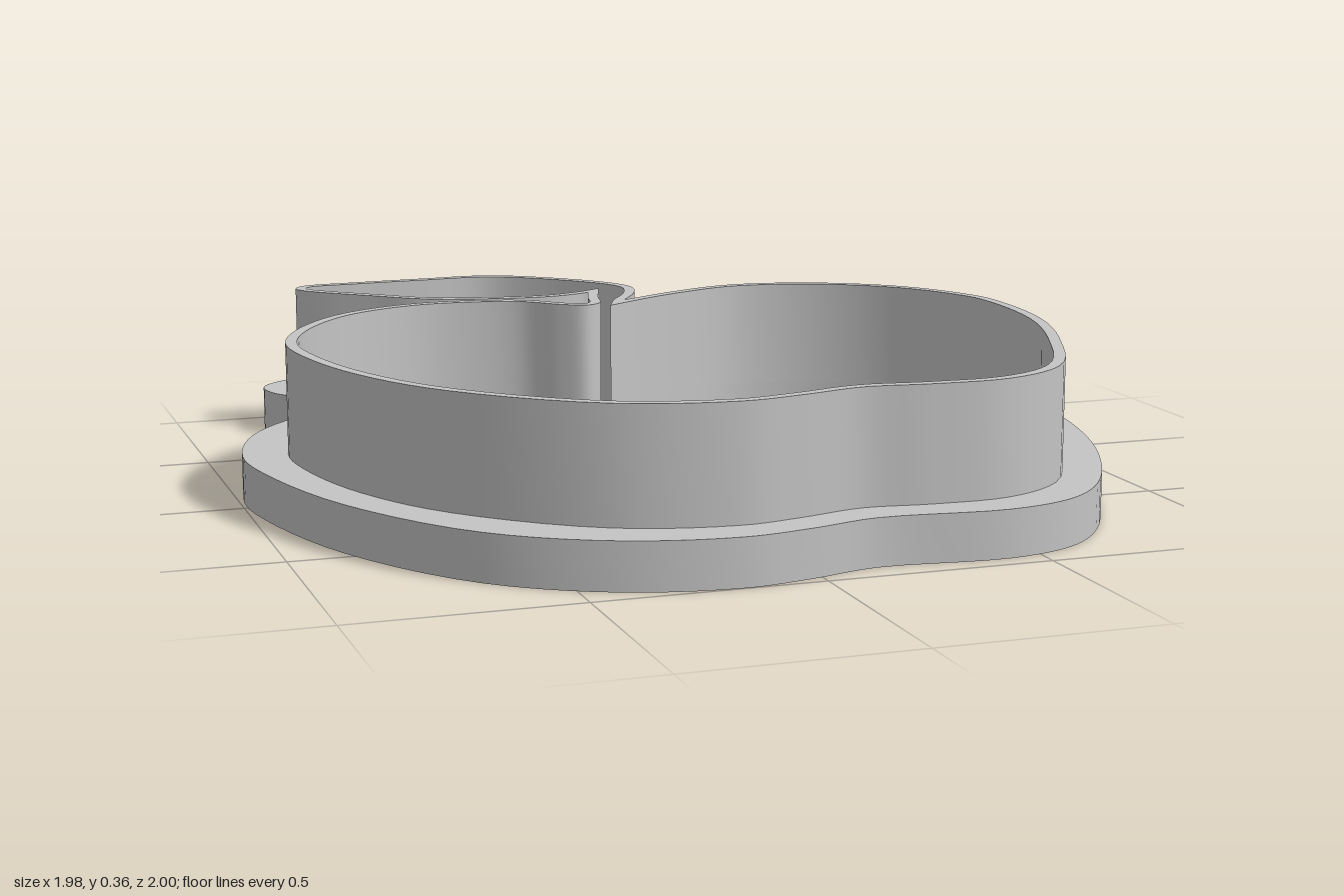
import * as THREE from 'three';
import { toCreasedNormals } from 'three/addons/utils/BufferGeometryUtils.js';

const FLANGE_TOP = 0.105, WALL_TOP = 0.36, WALL = 0.026;

// Each run is a smooth curve of [x, z] points; runs meet at sharp corners.
const appleInner = [
  [-0.035, -0.328], [0.07, -0.398], [0.19, -0.465], [0.36, -0.525], [0.56, -0.49], [0.74, -0.37],
  [0.85, -0.185], [0.867, -0.07], [0.845, 0.185], [0.745, 0.48], [0.605, 0.745], [0.46, 0.83],
  [0.29, 0.835], [0.135, 0.82], [-0.025, 0.86], [-0.155, 0.88], [-0.395, 0.82], [-0.66, 0.595],
  [-0.79, 0.37], [-0.855, 0.13], [-0.862, -0.05], [-0.79, -0.24], [-0.66, -0.4], [-0.5, -0.48],
  [-0.37, -0.49], [-0.225, -0.455], [-0.15, -0.385], [-0.09, -0.35], [-0.048, -0.375],
  [-0.025, -0.46], [0.02, -0.6],
];
const leafInner = [
  [0.02, -0.6], [-0.04, -0.565], [-0.14, -0.535], [-0.29, -0.55], [-0.42, -0.59], [-0.525, -0.675],
  [-0.685, -0.83], [-0.67, -0.858], [-0.55, -0.871], [-0.37, -0.88], [-0.195, -0.88],
  [-0.05, -0.785], [0.06, -0.66], [0.08, -0.595], [0.055, -0.505], [0, -0.41], [-0.035, -0.328],
];
const appleOuter = [
  [0.205, -0.61], [0.37, -0.64], [0.585, -0.6], [0.795, -0.46], [0.93, -0.28], [0.985, -0.105],
  [0.95, 0.21], [0.855, 0.52], [0.705, 0.8], [0.585, 0.91], [0.425, 0.955], [0.135, 0.935],
  [-0.025, 0.975], [-0.18, 0.998], [-0.42, 0.95], [-0.66, 0.795], [-0.87, 0.475], [-0.975, 0.13],
  [-0.99, -0.06], [-0.925, -0.29], [-0.79, -0.46], [-0.605, -0.57],
];
const leafOuter = [
  [-0.605, -0.57], [-0.71, -0.69], [-0.785, -0.785], [-0.79, -0.885], [-0.695, -0.965],
  [-0.5, -0.985], [-0.235, -1], [-0.105, -0.97], [0.055, -0.845], [0.17, -0.705], [0.205, -0.61],
];

// Join the runs into one closed outline in the drawing plane (y = -z).
function outline(...runs) {
  return runs.flatMap((run) => {
    const curve = new THREE.CatmullRomCurve3(
      run.map(([x, z]) => new THREE.Vector3(x, -z, 0)), false, 'centripetal');
    return curve.getPoints((run.length - 1) * 5).slice(0, -1);
  });
}

// Mitred offset to the left of a closed outline, without the loops that form at sharp tips.
function offset(points, d) {
  const n = points.length;
  const normal = (a, b) => new THREE.Vector3(a.y - b.y, b.x - a.x, 0).normalize();
  const edges = points.map((p, i) => new THREE.Line3(p, points[(i + 1) % n]));
  const nearest = new THREE.Vector3();
  return points.map((p, i) => {
    const n1 = normal(points[(i + n - 1) % n], p);
    const n2 = normal(p, points[(i + 1) % n]);
    return n1.clone().add(n2).multiplyScalar(d / (1 + n1.dot(n2))).add(p);
  }).filter((q) => edges.every(
    (edge) => edge.closestPointToPoint(q, true, nearest).distanceTo(q) > d * 0.93));
}

// Upright ring between two outlines.
function ring(name, outer, inner, bottom, top, material) {
  // Counter-clockwise outside, so that the faces of the hole are turned inwards
  const shape = new THREE.Shape([...outer].reverse());
  shape.holes.push(new THREE.Path(inner));
  const geometry = new THREE.ExtrudeGeometry(shape, { depth: top - bottom, bevelEnabled: false });
  geometry.rotateX(-Math.PI / 2);
  geometry.translate(0, bottom, 0);
  const mesh = new THREE.Mesh(toCreasedNormals(geometry, 0.6), material);
  mesh.name = name;
  return mesh;
}

export function createModel() {
  const group = new THREE.Group();
  group.name = 'appleCookieCutter';
  const grey = new THREE.MeshStandardMaterial({ color: 0xc4c4c4 });
  grey.name = 'greyPlastic';

  const inner = outline(appleInner, leafInner);
  const outer = outline(appleOuter, leafOuter);

  // Wide base rim, then the thin cutting wall following its inner edge
  group.add(ring('baseFlange', outer, inner, 0, FLANGE_TOP, grey));
  group.add(ring('cuttingWall', offset(inner, WALL), inner, FLANGE_TOP, WALL_TOP, grey));
  return group;
}
